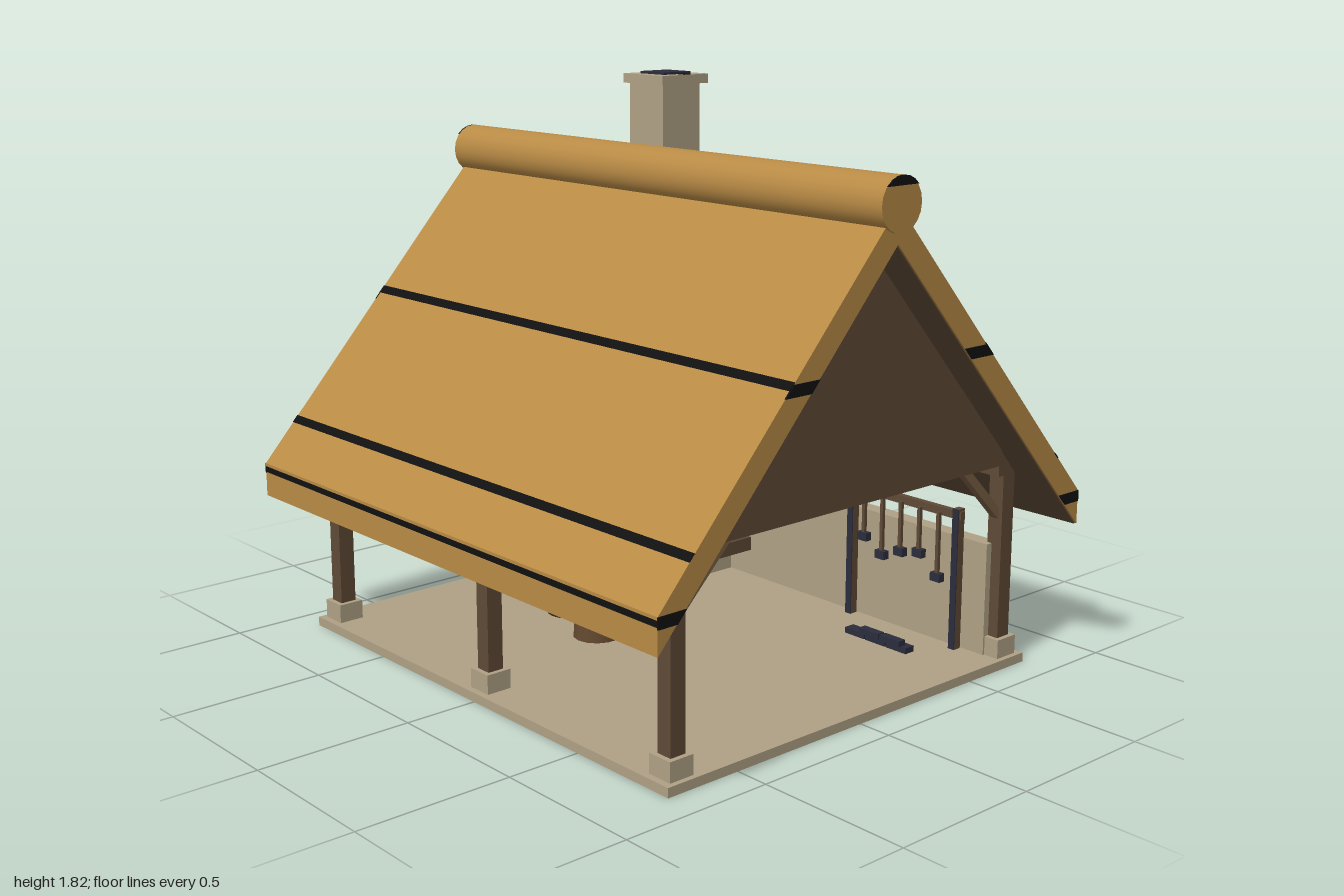
import * as THREE from 'three';

const mat = (name, color, side = THREE.FrontSide) => {
  const m = new THREE.MeshStandardMaterial({ color, side });
  m.name = name;
  return m;
};

export function createModel() {
  const root = new THREE.Group();
  root.name = 'openForge';
  const thatch = mat('thatch', 0xb88a45);
  const stone = mat('stone', 0xb0a185);
  const wood = mat('darkWood', 0x5f4a36);
  const brace = mat('braceWood', 0x7a5f45);
  const iron = mat('iron', 0x2c2d3c);
  const black = mat('black', 0x111111);
  const barrelWood = mat('barrelWood', 0x654a30);

  const add = (name, geo, m, x = 0, y = 0, z = 0, parent = root) => {
    const mesh = new THREE.Mesh(geo, m);
    mesh.name = name;
    mesh.position.set(x, y, z);
    parent.add(mesh);
    return mesh;
  };
  // Box given by its limits on each axis
  const box = (name, m, x0, x1, y0, y1, z0, z1) =>
    add(name, new THREE.BoxGeometry(x1 - x0, y1 - y0, z1 - z0), m, (x0 + x1) / 2, (y0 + y1) / 2, (z0 + z1) / 2);
  // Prism with a (z, y) outline, running along x
  const prism = (name, m, pts, x0, x1) => {
    const shape = new THREE.Shape(pts.map(p => new THREE.Vector2(p[0], p[1])));
    const geo = new THREE.ExtrudeGeometry(shape, { depth: x1 - x0, bevelEnabled: false });
    geo.translate(0, 0, -(x1 - x0) / 2).rotateY(-Math.PI / 2);
    return add(name, geo, m, (x0 + x1) / 2);
  };

  // Floor slab
  box('floorSlab', stone, -0.89, 0.89, 0, 0.03, -0.76, 0.76);

  // Posts with stone footings
  for (const x of [-0.83, 0, 0.83]) for (const z of [-0.695, 0.695]) {
    box('footing', stone, x - 0.043, x + 0.043, 0.03, 0.092, z - 0.043, z + 0.043);
    box('post', wood, x - 0.027, x + 0.027, 0.09, 0.66, z - 0.027, z + 0.027);
  }

  // Plates, tie beams and diagonal braces
  for (const s of [-1, 1]) box('wallPlate', wood, -0.86, 0.86, 0.63, 0.68, s * 0.665 - 0.025, s * 0.665 + 0.025);
  for (const x of [-0.83, 0, 0.83]) {
    box('tieBeam', wood, x - 0.03, x + 0.03, 0.665, 0.722, -0.67, 0.67);
    if (x === 0) continue;
    for (const s of [-1, 1]) {
      const b = add('brace', new THREE.BoxGeometry(0.028, 0.25, 0.028), brace, x, 0.585, s * 0.585);
      b.rotation.x = -s * Math.PI / 4;
    }
  }

  // Gable panels
  for (const x of [-0.845, 0.845]) prism('gable', wood, [[-0.645, 0.715], [0.645, 0.715], [0, 1.437]], x - 0.02, x + 0.02);

  // Roof
  const outerY = z => 1.55 - 1.1136 * z;
  const outerZ = y => (1.55 - y) / 1.1136;
  const innerZ = y => (1.44 - y) / 1.1136;
  prism('roof', thatch, [[-0.88, 0.46], [-0.88, 0.57], [0, outerY(0)], [0.88, 0.57], [0.88, 0.46], [0, 1.44]], -0.985, 0.985);
  prism('roofLining', wood, [[-0.875, 0.465], [0, 1.4395], [0.875, 0.465], [0.875, 0.459], [0, 1.434], [-0.875, 0.459]], -0.98, 0.98);
  const e = 0.003;
  for (const s of [-1, 1]) {
    for (const [y0, y1] of [[1.09, 1.111], [0.693, 0.713]]) {
      prism('roofBand', black, [[s * (outerZ(y0) + e), y0], [s * (outerZ(y1) + e), y1],
        [s * (outerZ(y1) - e), y1], [s * (outerZ(y0) - e), y0]], -0.985, 0.985);
    }
    box('eaveBand', black, -0.985, 0.985, 0.542, 0.56, s * 0.88 - e, s * 0.88 + e);
    // Band ends on the gable edges
    for (const t of [-1, 1]) {
      const x0 = t * 0.985 - e, x1 = t * 0.985 + e;
      prism('bandEnd', black, [[s * outerZ(1.07), 1.07], [s * outerZ(1.105), 1.105],
        [s * innerZ(1.105), 1.105], [s * innerZ(1.07), 1.07]], x0, x1);
      prism('bandEnd', black, [[s * 0.88, 0.535], [s * 0.88, 0.57],
        [s * innerZ(0.57), 0.57], [s * innerZ(0.535), 0.535]], x0, x1);
    }
  }

  // Ridge roll with dark end caps
  add('ridgeRoll', new THREE.CylinderGeometry(0.082, 0.082, 1.99, 20).rotateZ(Math.PI / 2), thatch, 0, 1.552, 0);
  const cap = [];
  for (let i = 0; i <= 6; i++) {
    const a = Math.PI / 2 + (i / 3 - 1) * 0.87;
    cap.push([0.082 * Math.cos(a), 1.552 + 0.082 * Math.sin(a)]);
  }
  for (const t of [-1, 1]) prism('ridgeEndMark', black, cap, t * 0.997 - e, t * 0.997 + e);

  // Low walls
  box('backWall', stone, -0.82, 0.82, 0.03, 0.4, -0.7, -0.645);
  box('sideWall', stone, -0.85, -0.775, 0.03, 0.4, -0.69, 0.05);

  // Hearth, hood and chimney
  box('hearth', stone, -0.775, -0.35, 0.03, 0.3, -0.645, -0.31);
  box('hearthSlotFrame', wood, -0.7, -0.43, 0.255, 0.277, -0.31, -0.306);
  box('hearthSlot', thatch, -0.695, -0.435, 0.26, 0.276, -0.306, -0.303);
  add('hood', new THREE.CylinderGeometry(0.085, 0.18, 0.26, 24), stone, -0.56, 0.64, -0.5);
  box('chimney', stone, -0.647, -0.473, 0.72, 1.78, -0.592, -0.422);
  box('chimneyCap', stone, -0.665, -0.458, 1.778, 1.81, -0.617, -0.407);
  box('flue', iron, -0.622, -0.5, 1.81, 1.818, -0.573, -0.45);
  for (const x of [-0.654, -0.48]) box('capMark', black, x - 0.012, x + 0.02, 1.81, 1.813, -0.537, -0.507);

  // Bellows beside the hearth
  box('bellows', wood, -0.32, -0.185, 0.15, 0.198, -0.585, -0.415);
  box('bellowsNozzle', iron, -0.35, -0.32, 0.165, 0.183, -0.51, -0.49);
  box('bellowsHandle', wood, -0.26, -0.24, 0.165, 0.18, -0.62, -0.585);

  // Barrel with iron hoops
  const profile = [[0, 0], [0.083, 0], [0.093, 0.05], [0.096, 0.08], [0.093, 0.115], [0.083, 0.162], [0, 0.162]];
  add('barrel', new THREE.LatheGeometry(profile.map(p => new THREE.Vector2(...p)), 20), barrelWood, -0.375, 0.03, 0.08);
  for (const y of [0.08, 0.165]) add('barrelHoop', new THREE.CylinderGeometry(0.096, 0.096, 0.022, 20), iron, -0.375, y, 0.08);

  // Stump, anvil and hammer
  add('stump', new THREE.CylinderGeometry(0.072, 0.08, 0.135, 14), barrelWood, -0.135, 0.0975, 0.163);
  box('anvilFoot', iron, -0.185, -0.09, 0.165, 0.186, 0.128, 0.198);
  box('anvilWaist', iron, -0.16, -0.115, 0.186, 0.22, 0.145, 0.181);
  box('anvilFace', iron, -0.2, -0.07, 0.215, 0.243, 0.13, 0.196);
  add('anvilHorn', new THREE.ConeGeometry(0.017, 0.075, 12).rotateZ(Math.PI / 2), iron, -0.237, 0.229, 0.163);
  box('hammerHead', iron, -0.165, -0.125, 0.243, 0.265, 0.12, 0.142);
  box('hammerHandle', brace, -0.15, -0.14, 0.25, 0.26, 0.142, 0.24);

  // Tool rack with hanging hammers
  for (const x of [0.265, 0.718]) {
    box('rackPost', wood, x - 0.012, x + 0.012, 0.03, 0.5, -0.64, -0.612);
    box('rackPostStrap', iron, x - 0.012, x + 0.012, 0.03, 0.5, -0.612, -0.609);
  }
  box('rackRail', wood, 0.25, 0.735, 0.465, 0.492, -0.636, -0.616);
  [0.32, 0.275, 0.305, 0.32, 0.258].forEach((y, i) => {
    const x = 0.33 + i * 0.08;
    box('toolHandle', wood, x - 0.006, x + 0.006, y, 0.475, -0.616, -0.604);
    box('toolHead', iron, x - 0.02, x + 0.02, y - 0.014, y + 0.014, -0.622, -0.598);
  });

  // Stacked iron bars
  for (const [x, y] of [[0.43, 0.03], [0.52, 0.03], [0.61, 0.03], [0.5, 0.05], [0.59, 0.05]])
    box('ironBar', iron, x - 0.042, x + 0.042, y, y + 0.019, -0.505 + (y - 0.03), -0.465 + (y - 0.03) * 0.5);

  return root;
}
